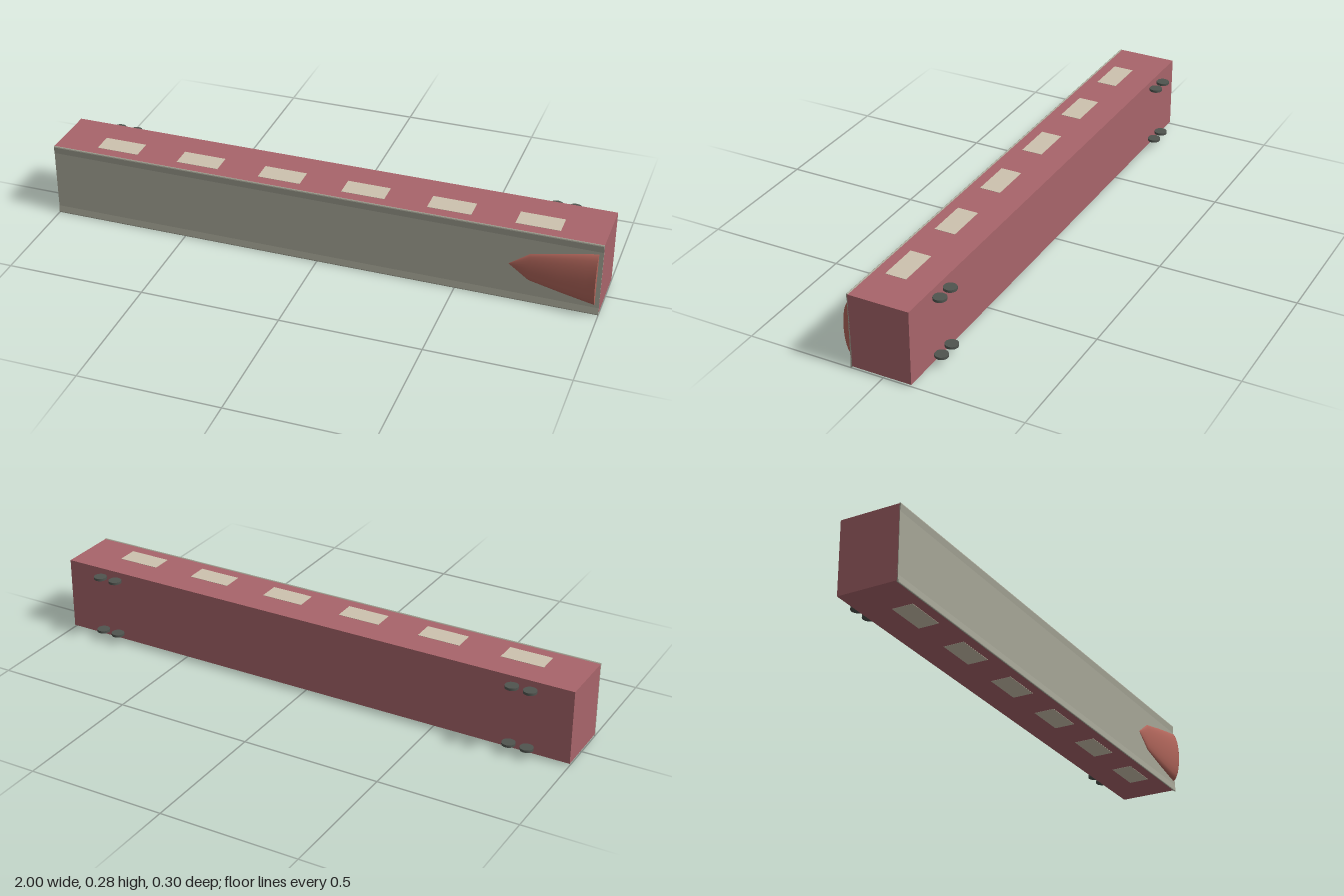
import * as THREE from 'three';

const mat = (color, side = THREE.FrontSide) => new THREE.MeshStandardMaterial({ color, side });

function add(parent, name, geometry, material, x = 0, y = 0, z = 0) {
  const mesh = new THREE.Mesh(geometry, material);
  mesh.name = name;
  mesh.position.set(x, y, z);
  parent.add(mesh);
  return mesh;
}

// Half-cone fairing: arched sections from a pointed tip to an open wide end
function cowlGeometry() {
  const sections = [ // x, half width, rise above roof
    [0.685, 0.001, 0.001], [0.755, 0.052, 0.009], [0.87, 0.078, 0.018],
    [0.95, 0.094, 0.024], [0.985, 0.1, 0.0285]
  ];
  const n = 10, pos = [], idx = [];
  for (const [x, w, h] of sections) {
    for (let j = 0; j <= n; j++) {
      const a = Math.PI * j / n;
      pos.push(x, 0.142 - w * Math.cos(a), 0.1195 + h * Math.sin(a));
    }
  }
  for (let i = 0; i < sections.length - 1; i++) {
    for (let j = 0; j < n; j++) {
      const a = i * (n + 1) + j, b = a + n + 1;
      idx.push(a, b, b + 1, a, b + 1, a + 1);
    }
  }
  const g = new THREE.BufferGeometry();
  g.setAttribute('position', new THREE.Float32BufferAttribute(pos, 3));
  g.setIndex(idx);
  g.computeVertexNormals();
  return g;
}

export function createModel() {
  const group = new THREE.Group();
  const red = mat(0xa8646a);
  const roofGrey = mat(0xa5a596);
  const glass = mat(0xcdc2ae);
  const dark = mat(0x50544f);
  const cowlRed = mat(0xb0655a, THREE.DoubleSide);

  // Carriage lying on its side, roof towards +z
  add(group, 'body', new THREE.BoxGeometry(2, 0.268, 0.219), red, 0, 0.143, 0.0075);

  // Roof sheet with slightly raised rims, profile in (z, y) swept along x
  const profile = new THREE.Shape();
  profile.moveTo(-0.114, 0.009);
  profile.lineTo(-0.117, 0.003);
  profile.quadraticCurveTo(-0.121, 0, -0.1215, 0.006);
  profile.lineTo(-0.119, 0.03);
  profile.lineTo(-0.119, 0.25);
  profile.lineTo(-0.1215, 0.274);
  profile.quadraticCurveTo(-0.121, 0.281, -0.117, 0.279);
  profile.lineTo(-0.114, 0.276);
  profile.closePath();
  const roof = new THREE.ExtrudeGeometry(profile, { depth: 2, bevelEnabled: false, curveSegments: 4 });
  roof.translate(0, 0, -1).rotateY(Math.PI / 2);
  // The sweep axis becomes x, and the profile's -x becomes +z
  add(group, 'roof', roof, roofGrey);

  add(group, 'roofCowl', cowlGeometry(), cowlRed);
  const capShape = new THREE.Shape();
  capShape.absellipse(0, 0, 0.0285, 0.1, -Math.PI / 2, Math.PI / 2);
  const cap = new THREE.ShapeGeometry(capShape, 10);
  cap.rotateY(-Math.PI / 2);
  add(group, 'cowlEnd', cap, cowlRed, 0.985, 0.142, 0.1195);

  // Flush windows on both sides
  for (const y of [0.009, 0.277]) {
    for (let i = 0; i < 6; i++) {
      add(group, 'window', new THREE.BoxGeometry(0.155, 0.002, 0.076), glass, -0.77 + i * 0.3073, y, 0.038);
    }
  }

  // Paired wheels under each end
  const wheel = new THREE.CylinderGeometry(0.0235, 0.0235, 0.009, 20);
  for (const x of [-0.855, -0.79, 0.785, 0.85]) {
    for (const y of [0.037, 0.251]) add(group, 'wheel', wheel, dark, x, y, -0.1245);
  }
  return group;
}
